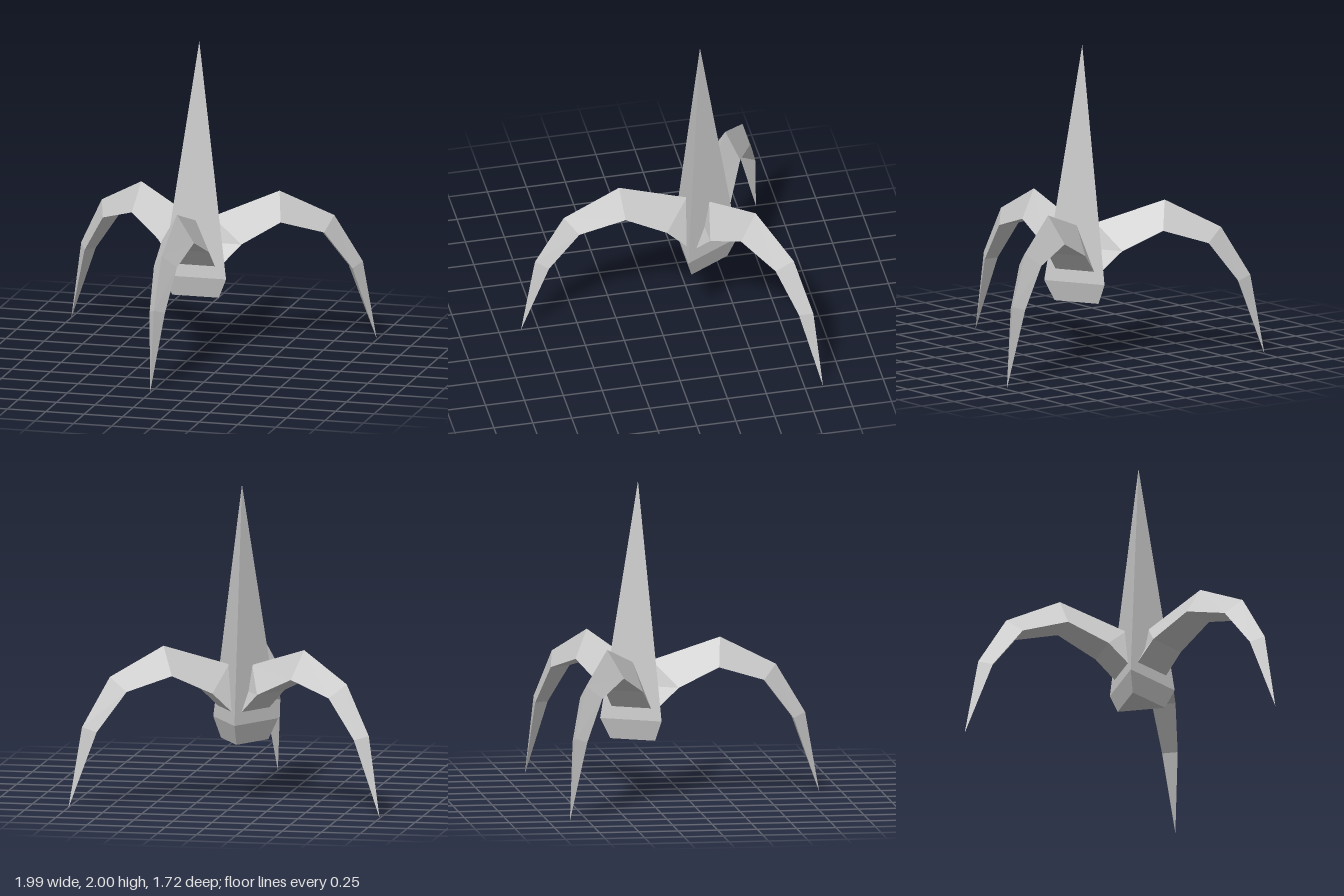
import * as THREE from 'three';

const material = new THREE.MeshStandardMaterial({ color: 0xcccccc, flatShading: true });

// Three-sided leg along +z: [ridge r, ridge y, underside r, underside y, half width]
const SECTIONS = [
  [0.0, 0.7, 0.11, 0.575, 0.133],
  [0.085, 0.86, 0.24, 0.7, 0.13],
  [0.52, 1.0, 0.5, 0.82, 0.105],
  [0.875, 0.82, 0.79, 0.73, 0.075],
  [1.06, 0.51, 0.98, 0.48, 0.05],
];
const TIP = [0, 0, 1.15];

function legGeometry() {
  const rings = SECTIONS.map(([rr, ry, ur, uy, w]) => [[0, ry, rr], [-w, uy, ur], [w, uy, ur]]);
  const out = [];
  const tri = (a, b, c) => out.push(...a, ...b, ...c);
  tri(rings[0][0], rings[0][2], rings[0][1]); // root cap
  for (let k = 0; k < rings.length; k++) {
    const a = rings[k], b = rings[k + 1];
    for (let i = 0; i < 3; i++) {
      const j = (i + 1) % 3;
      if (!b) {
        tri(a[i], a[j], TIP); // pointed foot
      } else {
        tri(a[i], a[j], b[j]);
        tri(a[i], b[j], b[i]);
      }
    }
  }
  const geometry = new THREE.BufferGeometry();
  geometry.setAttribute('position', new THREE.Float32BufferAttribute(out, 3));
  geometry.computeVertexNormals();
  return geometry;
}

export function createModel() {
  const model = new THREE.Group();
  model.name = 'tripodSpire';
  const add = (name, geometry) => {
    const mesh = new THREE.Mesh(geometry, material);
    mesh.name = name;
    model.add(mesh);
    return mesh;
  };

  // Tall triangular spire, one corner pointing back
  const spire = add('spire', new THREE.ConeGeometry(0.24, 1.5, 3, 1, true));
  spire.position.y = 1.25;
  spire.rotation.y = Math.PI;

  // Tapered base below the spire
  const base = add('spireBase', new THREE.CylinderGeometry(0.24, 0.175, 0.13, 3));
  base.position.y = 0.435;
  base.rotation.y = Math.PI;

  // Three arched legs, one per face of the spire
  const leg = legGeometry();
  ['frontLeg', 'backLeftLeg', 'backRightLeg'].forEach((name, i) => {
    add(name, leg).rotation.y = (i * Math.PI * 2) / 3;
  });

  // Centre the footprint
  model.children.forEach((part) => { part.position.z = -0.29; });
  return model;
}
